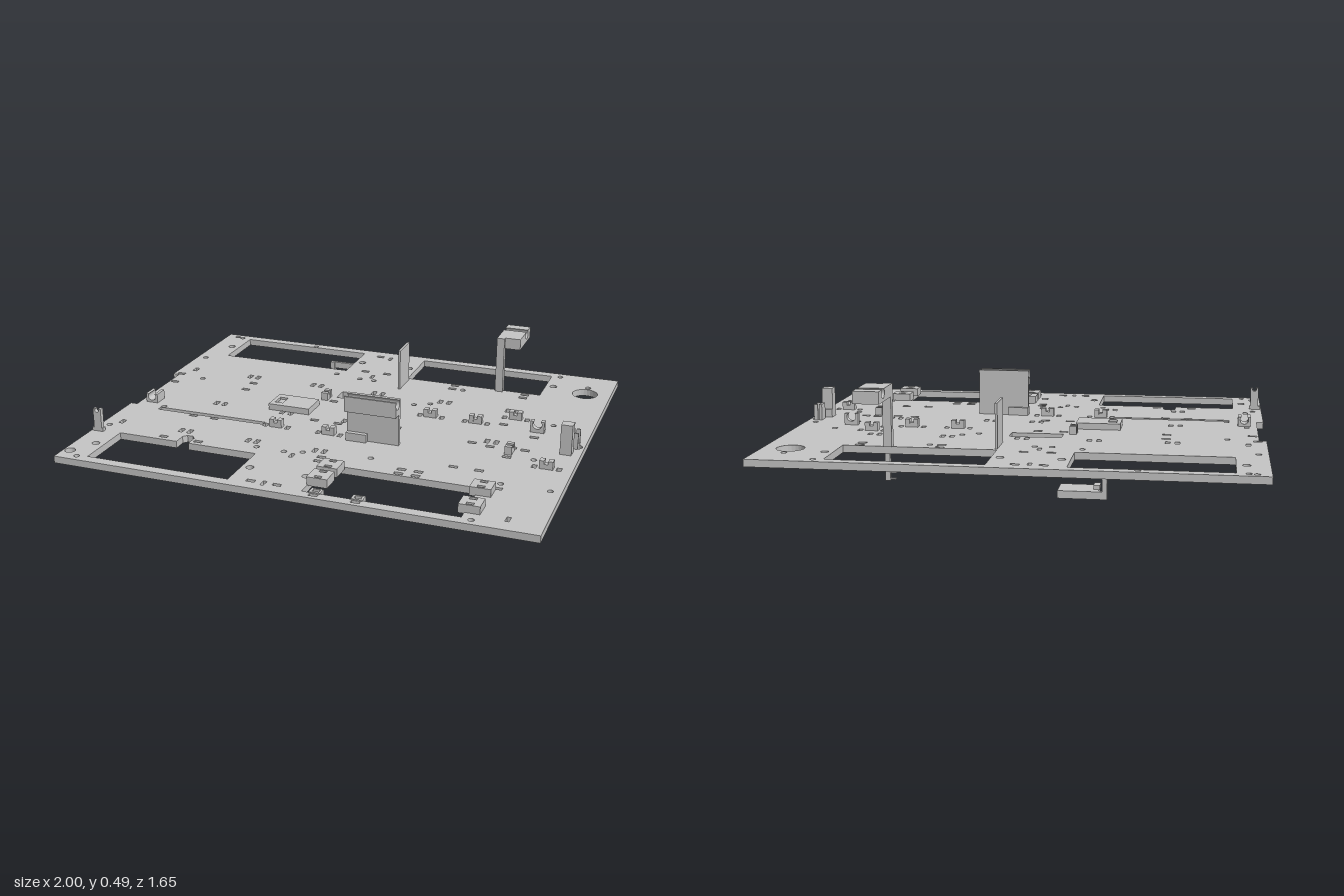
import * as THREE from 'three';

const grey = new THREE.MeshStandardMaterial({ color: 0xc6c6c6 });
grey.name = 'plain grey';

export function createModel() {
  const model = new THREE.Group();
  const add = (name, geometry) => {
    const mesh = new THREE.Mesh(geometry, grey);
    mesh.name = name;
    model.add(mesh);
    return mesh;
  };
  // Box given by its limits
  const box = (name, x0, x1, y0, y1, z0, z1) =>
    add(name, new THREE.BoxGeometry(x1 - x0, y1 - y0, z1 - z0)
      .translate((x0 + x1) / 2, (y0 + y1) / 2, (z0 + z1) / 2));

  // Outlines on the ground plan (shape y is -z), all turned counter-clockwise
  const outline = (pts, Type = THREE.Path) => {
    const v = pts.map(([x, z]) => new THREE.Vector2(x, -z));
    return new Type(THREE.ShapeUtils.isClockWise(v) ? v.reverse() : v);
  };
  const rect = (x0, x1, z0, z1, Type) => outline([[x0, z0], [x1, z0], [x1, z1], [x0, z1]], Type);
  const hole = (x, z, w, d) => rect(x - w / 2, x + w / 2, z - d / 2, z + d / 2);
  const round = (x, z, r) => new THREE.Path().absarc(x, -z, r, 0, Math.PI * 2);
  const slab = (name, shape, y0, y1) =>
    add(name, new THREE.ExtrudeGeometry(shape, { depth: y1 - y0, bevelEnabled: false, curveSegments: 12 })
      .rotateX(-Math.PI / 2).translate(0, y0, 0));

  // Block with a round wire notch in its top, running along z or x
  const saddle = (name, x, y, z, w, h, length, r, alongX = false, offset = 0) => {
    const c = h - r * 0.7, a = Math.asin(0.7);
    const s = new THREE.Shape();
    s.moveTo(-w / 2, 0);
    s.lineTo(w / 2, 0);
    s.lineTo(w / 2, h);
    s.lineTo(offset + r * Math.cos(a), h);
    s.absarc(offset, c, r, a, Math.PI - a, true);
    s.lineTo(-w / 2, h);
    const g = new THREE.ExtrudeGeometry(s, { depth: length, bevelEnabled: false, curveSegments: 14 })
      .translate(0, 0, -length / 2);
    if (alongX) g.rotateY(Math.PI / 2);
    return add(name, g.translate(x, y, z));
  };

  // Base plate with its edge notch
  const plate = outline([[-1, -0.83], [1, -0.83], [1, 0.825], [-1, 0.825],
    [-1, 0.2], [-0.97, 0.2], [-0.97, -0.2], [-1, -0.2]], THREE.Shape);

  // Large windows, cable slot and groove
  plate.holes.push(
    rect(-0.87, -0.245, -0.785, -0.525), rect(0.065, 0.695, -0.785, -0.525),
    outline([[-0.87, 0.52], [-0.605, 0.52], [-0.605, 0.465], [-0.59, 0.448], [-0.565, 0.448],
      [-0.55, 0.465], [-0.55, 0.52], [-0.245, 0.52], [-0.245, 0.78], [-0.87, 0.78]]),
    rect(0.065, 0.695, 0.52, 0.78), rect(-0.16, 0.06, -0.255, -0.18),
    rect(-0.85, -0.345, 0.202, 0.226), round(0.885, -0.61, 0.057));
  box('grooveFloor', -0.852, -0.343, 0.2005, 0.215, 0.201, 0.227);

  // Small round holes
  for (const [x, z] of [[-0.945, -0.8], [-0.915, -0.793], [-0.51, -0.8], [0.735, -0.79], [0.885, -0.69],
    [-0.96, -0.46], [-0.27, -0.465], [-0.145, -0.44], [-0.075, -0.44], [0.35, -0.465], [-0.84, -0.19],
    [0.83, -0.19], [0.955, -0.07], [0.195, -0.215], [-0.84, 0.188], [0.83, 0.19], [-0.96, 0.455],
    [-0.27, 0.455], [-0.145, 0.46], [-0.07, 0.44], [0.76, 0.455], [0.955, 0.455], [-0.915, 0.79],
    [0.735, 0.79], [0.26, -0.25], [0.21, 0.4]])
    plate.holes.push(round(x, z, 0.012));
  for (const x of [-0.91, -0.21, 0.03, 0.73])
    for (const z of [-0.655, 0.65]) plate.holes.push(round(x, z, 0.016));
  plate.holes.push(round(0.97, 0, 0.02), round(-0.97, 0.75, 0.022), round(0.935, 0.065, 0.016));

  // Paired upright slots
  for (const [z, xs] of [[-0.29, [-0.62, -0.3, 0, 0.315, 0.625]],
    [0.07, [-0.62, -0.3, -0.01, 0.195, 0.625]], [0.405, [-0.62, -0.31, -0.01]]]) {
    for (const x of xs)
      for (const s of [-1, 1]) plate.holes.push(hole(x + s * 0.02, z, 0.02, 0.036));
    plate.holes.push(hole(-0.925, z, 0.02, 0.036));
  }
  for (const [x, z] of [[-0.1, -0.75], [-0.1, -0.485], [-0.1, 0.485], [-0.1, 0.765], [0.86, 0.74]])
    plate.holes.push(hole(x, z, 0.016, 0.036));

  // Flat slots
  for (const [x, z] of [[-0.155, -0.765], [-0.045, -0.765], [-0.155, -0.545], [-0.045, -0.545],
    [-0.045, 0.107], [-0.155, 0.105], [-0.155, 0.762], [-0.045, 0.762], [0.3, -0.51], [0.3, -0.465],
    [0.63, -0.505], [0.63, -0.465], [-0.59, -0.215], [-0.59, -0.13], [-0.965, -0.215], [-0.945, -0.11],
    [-0.155, -0.13], [-0.045, -0.13], [0.625, -0.13], [0.63, 0.12],
    [0.55, 0.105], [0.78, -0.035], [0.775, 0.11], [0.72, 0.2], [0.72, 0.1], [-0.67, 0.237], [-0.57, 0.237],
    [0.545, 0.365], [0.65, 0.365], [0.02, 0.46], [0.02, 0.5], [0.36, 0.46], [0.36, 0.5], [0.43, 0.46],
    [0.43, 0.5], [0.76, 0.5], [0.12, 0.797], [0.29, 0.797], [-0.68, 0.49], [-0.52, 0.49]])
    plate.holes.push(hole(x, z, 0.036, 0.018));

  // Wire clips: two prongs between a pair of slots
  const clips = [[0.305, -0.11], [0.508, -0.11], [0.66, -0.21], [-0.28, 0.225], [-0.04, 0.225],
    [0.895, 0.25], [-0.2, -0.155, true], [0.72, 0.15, true]];
  for (const [x, z, turned] of clips) {
    for (const s of [-1, 1]) {
      const d = s * 0.018;
      if (turned) box('clipProng', x - 0.015, x + 0.015, 0.23, 0.265, z + d - 0.01, z + d + 0.01);
      else {
        box('clipProng', x + d - 0.01, x + d + 0.01, 0.23, 0.265, z - 0.015, z + 0.015);
        plate.holes.push(hole(x + s * 0.05, z, 0.02, 0.03));
      }
    }
    box('clipBase', x - 0.014, x + 0.014, 0.229, 0.25, z - 0.014, z + 0.014);
  }
  slab('basePlate', plate, 0.2, 0.23);

  // Saddles and small posts
  saddle('edgeSaddle', -0.915, 0.23, 0.13, 0.055, 0.04, 0.065, 0.018);
  saddle('rightSaddle', 0.78, 0.23, -0.1, 0.06, 0.05, 0.025, 0.02);
  saddle('cornerPost', -0.968, 0.23, 0.525, 0.036, 0.1, 0.02, 0.009);
  box('cornerPostFoot', -0.995, -0.945, 0.23, 0.245, 0.515, 0.535);
  box('tallPost', 0.915, 0.963, 0.23, 0.36, 0.055, 0.1);
  box('tallPostFoot', 0.915, 0.96, 0.23, 0.265, 0.045, 0.055);
  box('sidePost', 0.958, 0.975, 0.23, 0.3, -0.028, -0.02);
  box('sidePost', 0.958, 0.975, 0.23, 0.3, 0.02, 0.028);
  box('sidePost', 0.94, 0.953, 0.23, 0.3, -0.025, 0.025);

  // Low tray beside the middle
  const tray = rect(-0.39, -0.2, -0.065, 0.06, THREE.Shape);
  tray.holes.push(rect(-0.372, -0.335, -0.03, 0.03));
  slab('tray', tray, 0.23, 0.257);
  box('trayLatch', -0.367, -0.34, 0.23, 0.25, -0.025, 0.025);

  // Upright panel with a notched head
  box('panelWall', 0.05, 0.275, 0.23, 0.37, 0.225, 0.245);
  saddle('panelHead', 0.1625, 0.365, 0.254, 0.058, 0.067, 0.225, 0.022, true, -0.004);
  box('panelFoot', 0.05, 0.14, 0.23, 0.265, 0.212, 0.265);

  // Thin upright fin
  box('fin', 0.065, 0.075, 0.23, 0.415, -0.51, -0.375);

  // Tall arm reaching over the rear window
  box('armPost', 0.49, 0.525, 0.23, 0.436, -0.535, -0.505);
  saddle('armHead', 0.5425, 0.435, -0.617, 0.196, 0.05, 0.105, 0.022, true, 0.033);
  box('armPostTop', 0.49, 0.525, 0.435, 0.485, -0.52, -0.505);

  // Hook hanging below the rear window
  box('hookWall', -0.39, -0.37, 0.09, 0.2, -0.71, -0.69);
  box('hookTopBar', -0.37, -0.2, 0.17, 0.2, -0.71, -0.695);
  box('hookBackBar', -0.37, -0.2, 0.09, 0.12, -0.71, -0.69);
  box('hookShelf', -0.355, -0.2, 0.09, 0.12, -0.69, -0.595);
  box('hookBump', -0.36, -0.335, 0.12, 0.137, -0.675, -0.63);

  // Rod below the plate with a small foot
  box('rod', 0.595, 0.617, 0, 0.2, -0.172, -0.15);
  box('rodFoot', 0.572, 0.617, 0.03, 0.036, -0.15, -0.1);
  box('rodToe', 0.572, 0.595, 0.005, 0.01, -0.172, -0.15);

  // Brackets on the front window
  for (const [x0, x1, z0, z1] of [[0.06, 0.145, 0.53, 0.612], [0.06, 0.145, 0.635, 0.718],
    [0.67, 0.755, 0.51, 0.585], [0.67, 0.755, 0.665, 0.74]]) {
    const s = rect(x0, x1, z0, z1, THREE.Shape), x = (x0 + x1) / 2;
    s.holes.push(hole(x, z0 + 0.015, 0.03, 0.015), hole(x, z1 - 0.015, 0.03, 0.015));
    slab('windowBracket', s, 0.225, 0.262);
  }
  for (const x of [0.12, 0.29]) {
    const s = rect(x - 0.024, x + 0.024, 0.748, 0.785, THREE.Shape);
    s.holes.push(hole(x, 0.765, 0.028, 0.018));
    slab('windowTab', s, 0.205, 0.235);
  }
  return model;
}
